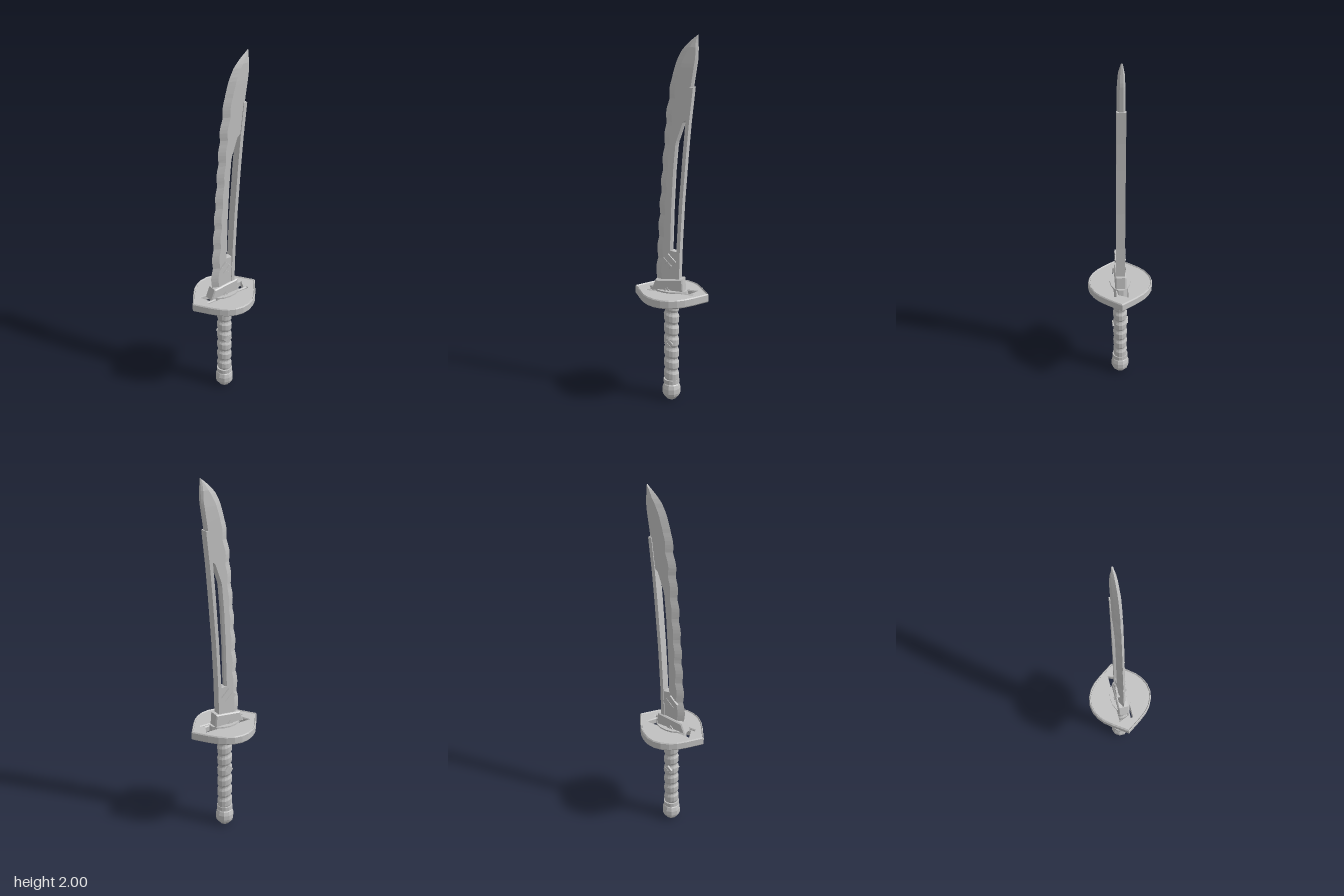
import * as THREE from 'three';

const steel = new THREE.MeshStandardMaterial({ color: 0xc0c0c0 });
steel.name = 'steel grey';

// Crisp facets for every part
function part(name, geo) {
  const g = geo.index ? geo.toNonIndexed() : geo;
  g.computeVertexNormals();
  const mesh = new THREE.Mesh(g, steel);
  mesh.name = name;
  return mesh;
}

// Straight-line interpolation through [key, value] pairs
function along(table, y) {
  for (let i = 1; i < table.length; i++) {
    const [y0, v0] = table[i - 1], [y1, v1] = table[i];
    if (y <= y1) return v0 + (v1 - v0) * Math.max(0, (y - y0) / (y1 - y0));
  }
  return table[table.length - 1][1];
}

// Skin a stack of [x, z] sections, counter-clockwise from above
function loft(ys, section) {
  const pos = [], idx = [];
  let n = 0;
  ys.forEach((y) => {
    const s = section(y);
    n = s.length;
    s.forEach(([x, z]) => pos.push(x, y, z));
  });
  const top = (ys.length - 1) * n;
  for (let i = 0; i < ys.length - 1; i++) {
    for (let j = 0; j < n; j++) {
      const a = i * n + j, b = i * n + (j + 1) % n;
      idx.push(a, b, b + n, a, b + n, a + n);
    }
  }
  for (let j = 1; j < n - 1; j++) idx.push(top, top + j, top + j + 1, 0, j + 1, j);
  const g = new THREE.BufferGeometry();
  g.setAttribute('position', new THREE.Float32BufferAttribute(pos, 3));
  g.setIndex(idx);
  return g;
}

const vecs = (pts, k = 1) => pts.map(([x, y]) => new THREE.Vector2(x * k, y * k));

// Four small lozenges forming one diamond, passing right through a part
function lozengeCrest(name, x, y, z, size, depth) {
  const crest = new THREE.Group();
  crest.name = name;
  for (let i = 0; i < 4; i++) {
    const a = i * Math.PI / 2;
    const g = new THREE.CylinderGeometry(size * 0.4, size * 0.46, depth, 4).rotateX(Math.PI / 2);
    g.translate(Math.cos(a) * size / 2, Math.sin(a) * size / 2, 0);
    crest.add(part(name + 'Lozenge', g));
  }
  crest.add(part(name + 'Backing',
    new THREE.CylinderGeometry(size * 0.85, size * 0.85, depth * 0.85, 4).rotateX(Math.PI / 2)));
  crest.position.set(x, y, z);
  return crest;
}

function createBlade() {
  const blade = new THREE.Group();
  blade.name = 'blade';
  const edge = [[0.66, -0.088], [0.9, -0.075], [1.1, -0.064], [1.34, -0.047], [1.6, -0.026], [1.79, 0.003],
    [1.87, 0.027], [1.92, 0.053], [1.95, 0.078], [1.98, 0.112], [2, 0.138]];
  const back = [[0.66, 0.045], [0.865, 0.045], [0.87, 0.008], [1.1, 0.015], [1.3, 0.025], [1.45, 0.038],
    [1.56, 0.076], [1.58, 0.098], [1.74, 0.118], [1.89, 0.141], [2, 0.141]];
  const thick = [[0.66, 0.019], [1.85, 0.019], [1.94, 0.015], [2, 0.004]];
  const ys = [];
  for (let y = 0.66; y < 1.995; y += 0.02) ys.push(y);
  ys.push(0.865, 0.87, 1.99, 2);
  ys.sort((a, b) => a - b);

  // Scalloped cutting edge, bevelled to a point; flat back
  blade.add(part('bladeBody', loft(ys, (y) => {
    const wave = y < 1.8 ? 0.009 * (Math.abs(Math.sin((y - 0.7) * Math.PI / 0.122)) - 0.5) : 0;
    const l = along(edge, y) - wave, r = along(back, y), t = along(thick, y);
    const bevel = Math.min(0.035, (r - l) * 0.45), c = Math.min(0.01, (r - l) * 0.3);
    return [[l, 0], [l + bevel, t], [r - c, t], [r, t * 0.5], [r, -t * 0.5], [r - c, -t], [l + bevel, -t]];
  })));

  // Thicker spine standing off the body to leave the long slot
  const spine = [[0.66, 0.049], [0.9, 0.056], [1.13, 0.068], [1.4, 0.088], [1.56, 0.102], [1.74, 0.122]];
  blade.add(part('bladeSpine', loft(spine.map((p) => p[0]), (y) => {
    const r = along(spine, y), l = r - 0.019;
    return [[l, 0.024], [r, 0.024], [r, -0.024], [l, -0.024]];
  })));
  blade.add(lozengeCrest('bladeCrest', -0.01, 0.81, 0, 0.048, 0.058));

  // Wedge collar at the blade root
  const shape = new THREE.Shape(vecs([[-0.105, 0.64], [0.076, 0.64], [0.07, 0.717], [-0.083, 0.7]]));
  const g = new THREE.ExtrudeGeometry(shape, { depth: 0.048, bevelSize: 0.006, bevelOffset: -0.006,
    bevelThickness: 0.006, bevelSegments: 1 });
  blade.add(part('bladeCollar', g.translate(0, 0, -0.024)));
  blade.add(lozengeCrest('collarCrest', -0.015, 0.65, 0, 0.018, 0.072));
  return blade;
}

function createGuard() {
  const guard = new THREE.Group();
  guard.name = 'guard';
  const quarter = [[0.21, 0], [0.154, 0.079], [0.118, 0.123], [0.085, 0.15], [0.044, 0.17], [0, 0.177]];
  const upper = [...quarter, ...quarter.slice(0, -1).reverse().map(([x, y]) => [-x, y])];
  const outline = [...upper, ...upper.slice(1, -1).reverse().map(([x, y]) => [x, -y])];
  const flat = (shape, y, options) =>
    new THREE.ExtrudeGeometry(shape, options).rotateX(-Math.PI / 2).translate(0, y, 0);

  // Raised rim
  const rim = new THREE.Shape(vecs(outline));
  rim.holes.push(new THREE.Path(vecs(outline, 0.95)));
  guard.add(part('guardRim', flat(rim, 0.597, { depth: 0.036, bevelSize: 0.004, bevelOffset: -0.004,
    bevelThickness: 0.006, bevelSegments: 1 }).translate(0, 0.006, 0)));

  // Plate with a wide trapezoid opening and a narrow slit
  const plate = new THREE.Shape(vecs(outline, 0.965));
  plate.holes.push(new THREE.Path(vecs([[-0.138, 0.036], [0.138, 0.036], [0.112, -0.018], [-0.112, -0.018]])));
  plate.holes.push(new THREE.Path(vecs([[-0.13, -0.03], [0.13, -0.03], [0.13, -0.039], [-0.13, -0.039]])));
  guard.add(part('guardPlate', flat(plate, 0.608, { depth: 0.026, bevelSize: 0.004, bevelOffset: -0.004,
    bevelThickness: 0.006, bevelSegments: 1 })));

  // Oval washer through the centre
  const washer = new THREE.CylinderGeometry(0.95, 1, 0.056, 14).scale(0.095, 1, 0.06);
  guard.add(part('guardWasher', washer.translate(0, 0.62, 0)));
  return guard;
}

function createHandle() {
  const handle = new THREE.Group();
  handle.name = 'handle';

  // Slanted wrap bands
  const pitch = 0.068, profile = [[0, 0.1]];
  for (let i = 0; i < 7; i++) {
    const y = 0.115 + i * pitch;
    profile.push([0.036, y], [0.042, y + 0.014], [0.043, y + 0.046], [0.037, y + 0.06]);
  }
  profile.push([0.036, 0.6], [0, 0.6]);
  const wrap = new THREE.LatheGeometry(vecs(profile), 14).scale(1, 1, 0.92);
  const p = wrap.attributes.position;
  for (let i = 0; i < p.count; i++) p.setY(i, p.getY(i) - 0.18 * p.getX(i));
  handle.add(part('gripWrap', wrap));

  // End rings
  for (const [y, h] of [[0.108, 0.024], [0.585, 0.024]]) {
    handle.add(part('gripRing', new THREE.CylinderGeometry(0.044, 0.044, h, 14).translate(0, y, 0)));
  }
  handle.add(lozengeCrest('frontGripCrest', -0.003, 0.342, 0.026, 0.027, 0.036));
  handle.add(lozengeCrest('backGripCrest', -0.003, 0.365, -0.026, 0.027, 0.036));

  // Faceted pommel
  const knob = [[0, 0], [0.028, 0.002], [0.046, 0.024], [0.051, 0.04], [0.051, 0.066], [0.044, 0.088],
    [0.032, 0.102], [0, 0.102]];
  handle.add(part('pommel', new THREE.LatheGeometry(vecs(knob), 10)));
  return handle;
}

export function createModel() {
  const model = new THREE.Group();
  model.name = 'sword';
  model.add(createBlade(), createGuard(), createHandle());
  return model;
}
